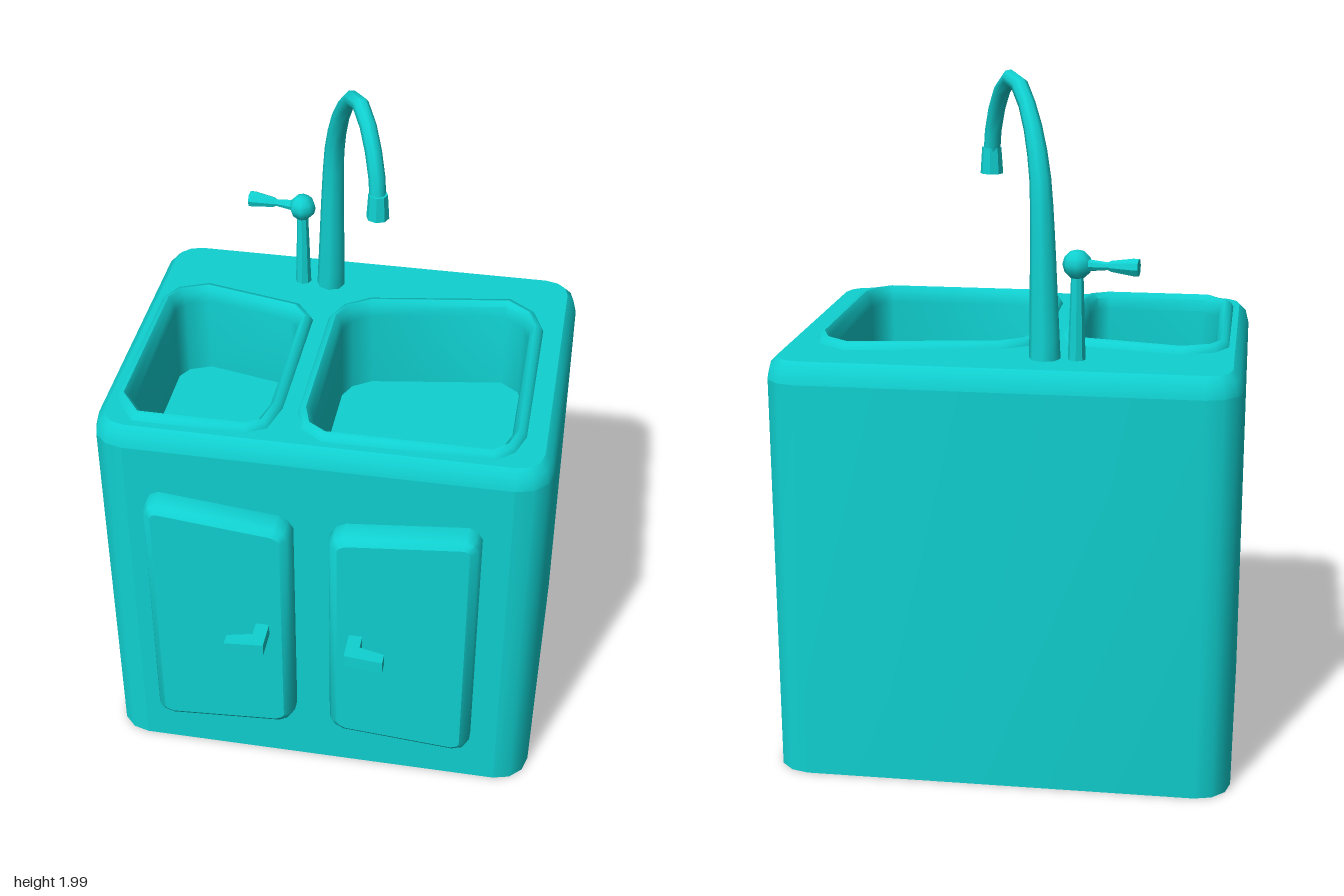
import * as THREE from 'three';
import { toCreasedNormals } from 'three/addons/utils/BufferGeometryUtils.js';

const material = new THREE.MeshStandardMaterial({ color: 0x10d0d0, side: THREE.DoubleSide });
const v2 = (list) => list.map(([x, y]) => new THREE.Vector2(x, y));

function addMesh(parent, name, geometry, crease = 0.7) {
  const mesh = new THREE.Mesh(toCreasedNormals(geometry, crease), material);
  mesh.name = name;
  parent.add(mesh);
  return mesh;
}

// Mitred offset of a counter-clockwise outline (positive = outward)
function offset(points, d) {
  const n = points.length;
  return points.map((p, i) => {
    const a = p.clone().sub(points[(i + n - 1) % n]).normalize();
    const b = points[(i + 1) % n].clone().sub(p).normalize();
    const n1 = new THREE.Vector2(a.y, -a.x), n2 = new THREE.Vector2(b.y, -b.x);
    return n1.clone().add(n2).multiplyScalar(d / (1 + n1.dot(n2))).add(p);
  });
}

// Skin between outlines stacked along z: levels are [outline, z]
function loft(levels, closed = true) {
  const n = levels[0][0].length, pos = [], index = [];
  levels.forEach(([ring, z]) => ring.forEach((p) => pos.push(p.x, p.y, z)));
  for (let k = 0; k < levels.length - 1; k++) {
    for (let i = 0; i < (closed ? n : n - 1); i++) {
      const a = k * n + i, b = k * n + ((i + 1) % n);
      index.push(a, b, b + n, a, b + n, a + n);
    }
  }
  const g = new THREE.BufferGeometry();
  g.setAttribute('position', new THREE.Float32BufferAttribute(pos, 3));
  g.setIndex(index);
  return g;
}

function panel(outline, z, holes = []) {
  const shape = new THREE.Shape(outline);
  holes.forEach((h) => shape.holes.push(new THREE.Path(h)));
  return new THREE.ShapeGeometry(shape).translate(0, 0, z);
}

// Turn a plan drawing (x, -z) stacked along z into one stacked along y
const upright = (g) => g.rotateX(-Math.PI / 2);

// Tube along a curve whose radius follows a function of t
function taperedTube(curve, segments, sides, radius) {
  const g = new THREE.TubeGeometry(curve, segments, 1, sides);
  const p = g.attributes.position, v = new THREE.Vector3();
  for (let i = 0; i < p.count; i++) {
    const t = Math.floor(i / (sides + 1)) / segments;
    const c = curve.getPointAt(t);
    v.fromBufferAttribute(p, i).sub(c).multiplyScalar(radius(t)).add(c);
    p.setXYZ(i, v.x, v.y, v.z);
  }
  return g;
}

export function createModel() {
  const model = new THREE.Group();
  model.name = 'kitchenSink';

  // Outlines: cabinet plan, basin plans, door face
  const plan = [];
  const corners = [[0.56, -0.32, -90], [0.56, 0.5, 0], [-0.56, 0.5, 90], [-0.56, -0.32, 180]];
  for (const [x, y, start] of corners) {
    for (let i = 0; i <= 3; i++) {
      const a = THREE.MathUtils.degToRad(start + i * 30);
      plan.push(new THREE.Vector2(x + 0.1 * Math.cos(a), y + 0.1 * Math.sin(a)));
    }
  }
  const basins = {
    smallBasin: v2([[-0.575, -0.26], [-0.52, -0.33], [-0.22, -0.33], [-0.185, -0.31], [-0.165, -0.23],
      [-0.165, 0.21], [-0.2, 0.255], [-0.48, 0.315], [-0.55, 0.285], [-0.575, 0.24]]),
    largeBasin: v2([[-0.045, -0.24], [-0.025, -0.3], [0.02, -0.33], [0.48, -0.33], [0.515, -0.3], [0.535, -0.24],
      [0.535, 0.28], [0.51, 0.345], [0.45, 0.39], [0.04, 0.325], [-0.02, 0.285], [-0.045, 0.23]]),
  };
  const doorOutline = v2([[0.045, 0.23], [0.06, 0.205], [0.09, 0.188], [0.43, 0.162], [0.465, 0.175], [0.48, 0.2],
    [0.48, 0.985], [0.465, 1.01], [0.44, 1.022], [0.09, 0.985], [0.06, 0.97], [0.045, 0.945]]);
  const doorShift = -0.02;
  const leftOpening = doorOutline.map((p) => new THREE.Vector2(-p.x + doorShift, p.y));

  // Cabinet, open below; the front wall is cut behind the hollow doors
  const cabinet = new THREE.Group();
  cabinet.name = 'cabinet';
  model.add(cabinet);
  addMesh(cabinet, 'cabinetWalls', upright(loft([[plan, 0], [plan, 1.17]], false)));
  const front = v2([[-0.56, 0], [0.56, 0], [0.56, 1.17], [-0.56, 1.17]]);
  addMesh(cabinet, 'frontWall', panel(front, 0.42, [doorOutline, leftOpening]));
  addMesh(cabinet, 'topBevel', upright(loft([[plan, 1.17], [offset(plan, -0.01), 1.21], [offset(plan, -0.03), 1.23]])), 1);
  const rims = Object.values(basins).map((b) => offset(b, 0.037));
  addMesh(cabinet, 'counterTop', upright(panel(offset(plan, -0.03), 1.23, rims)));

  // Basins with raised rims
  for (const [name, outline] of Object.entries(basins)) {
    const basin = new THREE.Group();
    basin.name = name;
    model.add(basin);
    addMesh(basin, 'basinRimAndWall', upright(loft([
      [offset(outline, 0.037), 1.23], [offset(outline, 0.028), 1.246], [offset(outline, 0.014), 1.25],
      [outline, 1.235], [offset(outline, -0.006), 1.2], [offset(outline, -0.006), 0.95],
    ])), 0.9);
    addMesh(basin, 'basinFloor', upright(panel(offset(outline, -0.006), 0.95)));
  }

  // Doors with bent handles
  for (const side of [1, -1]) {
    const door = new THREE.Group();
    door.name = side > 0 ? 'leftDoor' : 'rightDoor';
    door.scale.x = side;
    door.position.x = side > 0 ? 0 : doorShift;
    model.add(door);
    const inner = offset(doorOutline, -0.028);
    addMesh(door, 'doorEdge', loft([[doorOutline, 0.42], [doorOutline, 0.455], [offset(doorOutline, -0.008), 0.475], [inner, 0.49]]));
    addMesh(door, 'doorFace', panel(inner, 0.49));
    const grip = new THREE.Shape(v2([[0.11, -0.48], [0.15, -0.48], [0.15, -0.535], [0.225, -0.553], [0.225, -0.588], [0.11, -0.578]].reverse()));
    const handle = new THREE.ExtrudeGeometry(grip, { depth: 0.04, bevelEnabled: false });
    addMesh(door, 'doorHandle', upright(handle).translate(0, 0.575, 0));
  }

  // Gooseneck faucet, swung diagonally over the large basin
  const faucet = new THREE.Group();
  faucet.name = 'faucet';
  model.add(faucet);
  const profile = [[0, 1.22], [0.01, 1.4], [0.02, 1.58], [0.04, 1.74], [0.1, 1.875], [0.17, 1.95], [0.22, 1.975],
    [0.28, 1.957], [0.335, 1.9], [0.375, 1.82], [0.39, 1.74]];
  const neck = new THREE.CatmullRomCurve3(profile.map(([d, y]) => new THREE.Vector3(-0.112 + d * 0.51, y, -0.44 + d * 0.87)));
  addMesh(faucet, 'faucetNeck', taperedTube(neck, 16, 8, (t) => 0.024 + 0.02 * Math.max(0, 1 - t * 1.6)), 0.9);
  addMesh(faucet, 'faucetNozzle', new THREE.CylinderGeometry(0.028, 0.033, 0.075, 8).translate(0.087, 1.725, -0.1));

  // Lever tap beside the faucet
  const lever = new THREE.Group();
  lever.name = 'tapLever';
  model.add(lever);
  addMesh(lever, 'leverPost', new THREE.CylinderGeometry(0.017, 0.025, 0.25, 8).translate(-0.2, 1.345, -0.44));
  addMesh(lever, 'leverBall', new THREE.SphereGeometry(0.041, 8, 6).translate(-0.2, 1.495, -0.44), 1);
  const arm = [[0, 0], [0.02, 0], [0.011, 0.08], [0.016, 0.09], [0.025, 0.15], [0.025, 0.165], [0, 0.165]];
  const armMesh = addMesh(lever, 'leverArm', new THREE.LatheGeometry(v2(arm), 8));
  armMesh.position.set(-0.205, 1.495, -0.443);
  armMesh.quaternion.setFromUnitVectors(new THREE.Vector3(0, 1, 0), new THREE.Vector3(-1, 0, -0.12).normalize());

  return model;
}
